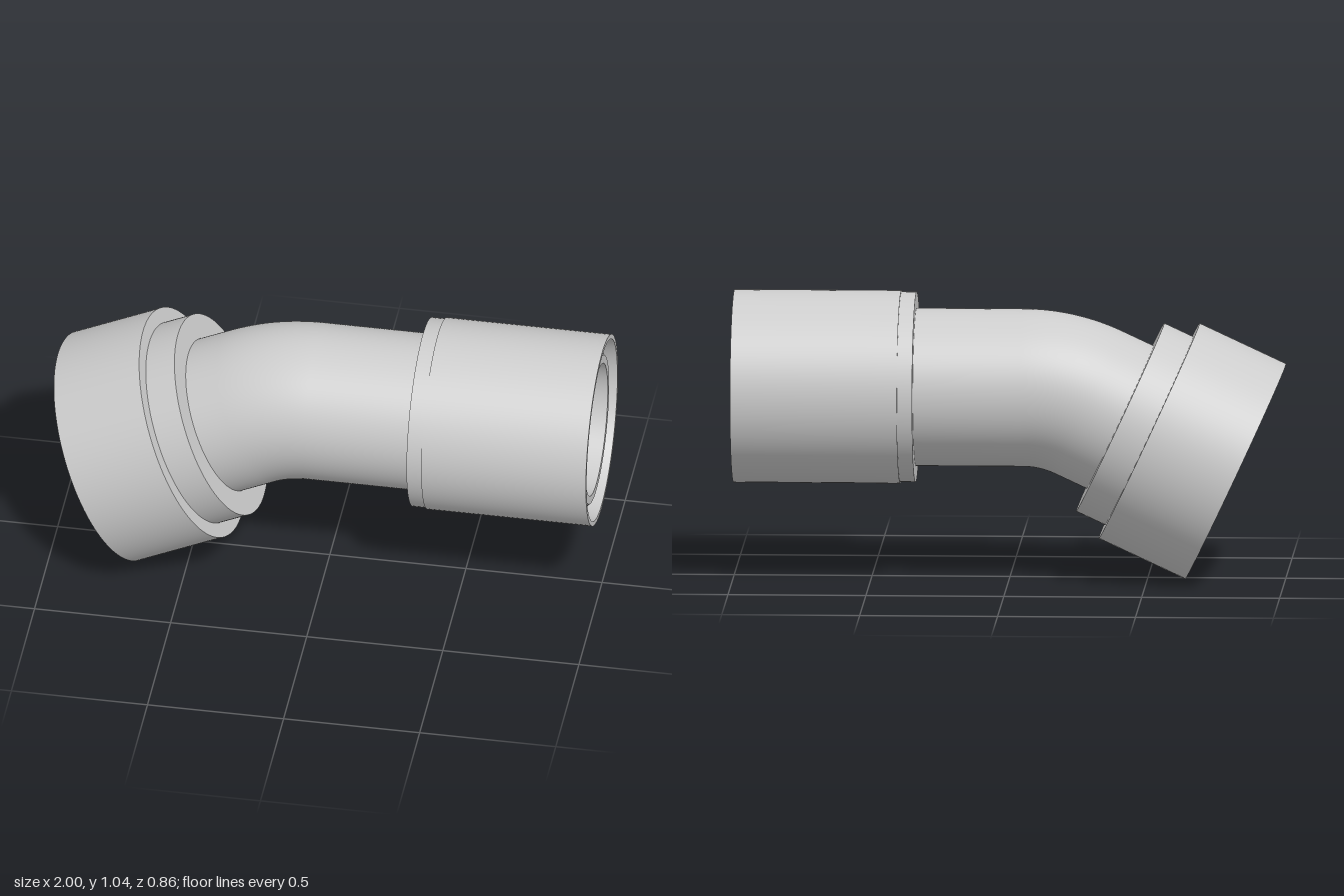
import * as THREE from 'three';
import { mergeGeometries } from 'three/addons/utils/BufferGeometryUtils.js';

const ANGLE = THREE.MathUtils.degToRad(25);
const AXIS_Y = 0.697;                                   // height of the straight pipe's axis
const MOUTH = new THREE.Vector3(-0.818, 0.396, 0);      // centre of the wide open end
const DIR = new THREE.Vector3(Math.cos(ANGLE), Math.sin(ANGLE), 0);

// Lathe around +x from [radius, distance] points, keeping every corner sharp
function turned(profile) {
  const bands = profile.slice(1).map((p, i) =>
    new THREE.LatheGeometry([new THREE.Vector2(...profile[i]), new THREE.Vector2(...p)], 96));
  return mergeGeometries(bands).rotateZ(-Math.PI / 2);
}

// Pipe axis: sloped straight, 25 degree bend, level straight
function pipePath(startDistance, endX) {
  const corner = MOUTH.clone().addScaledVector(DIR, (AXIS_Y - MOUTH.y) / DIR.y);
  const bendStart = corner.clone().addScaledVector(DIR, -0.125);
  const bendEnd = corner.clone().add(new THREE.Vector3(0.125, 0, 0));
  const path = new THREE.CurvePath();
  path.add(new THREE.LineCurve3(MOUTH.clone().addScaledVector(DIR, startDistance), bendStart));
  path.add(new THREE.QuadraticBezierCurve3(bendStart, corner, bendEnd));
  path.add(new THREE.LineCurve3(bendEnd, new THREE.Vector3(endX, AXIS_Y, 0)));
  return path;
}

// Turn a closed surface inside out so that it shows from within
function insideOut(geometry) {
  const index = geometry.index;
  for (let i = 0; i < index.count; i += 3) {
    const a = index.getX(i);
    index.setX(i, index.getX(i + 1));
    index.setX(i + 1, a);
  }
  const normal = geometry.attributes.normal;
  for (let i = 0; i < normal.count; i++) {
    normal.setXYZ(i, -normal.getX(i), -normal.getY(i), -normal.getZ(i));
  }
  return geometry;
}

export function createModel() {
  const group = new THREE.Group();
  const grey = new THREE.MeshStandardMaterial({ color: 0xcccccc });
  grey.name = 'light grey';
  const add = (name, geometry) => {
    const mesh = new THREE.Mesh(geometry, grey);
    mesh.name = name;
    group.add(mesh);
    return mesh;
  };

  // Bent pipe, outside and bore
  add('elbowPipe', new THREE.TubeGeometry(pipePath(0.45, 0.36), 100, 0.286, 96));
  add('elbowBore', insideOut(new THREE.TubeGeometry(pipePath(0.437, 0.98), 140, 0.242, 96)));

  // Wide stepped collar with a thin wall and a hollow stepped inside
  const collar = add('steppedCollar', turned([
    [0.431, 0], [0.431, 0.346], [0.377, 0.346], [0.377, 0.462], [0.28, 0.462],
  ]));
  const collarInside = add('collarInside', turned([
    [0.242, 0.437], [0.366, 0.437], [0.366, 0.33], [0.42, 0.33], [0.42, 0], [0.431, 0],
  ]));
  for (const part of [collar, collarInside]) {
    part.position.copy(MOUTH);
    part.rotation.z = ANGLE;
  }

  // Sleeve with a small back step and a tapered groove round the inner pipe
  const sleeve = add('sleeve', turned([
    [0.28, 0.34], [0.345, 0.34], [0.345, 0.395], [0.35, 0.395], [0.35, 1], [0.333, 1], [0.315, 0.9],
  ]));
  const innerRim = add('innerPipeRim', turned([
    [0.315, 0.9], [0.286, 0.9], [0.286, 0.965], [0.272, 0.98], [0.242, 0.98],
  ]));
  sleeve.position.y = innerRim.position.y = AXIS_Y;

  return group;
}
